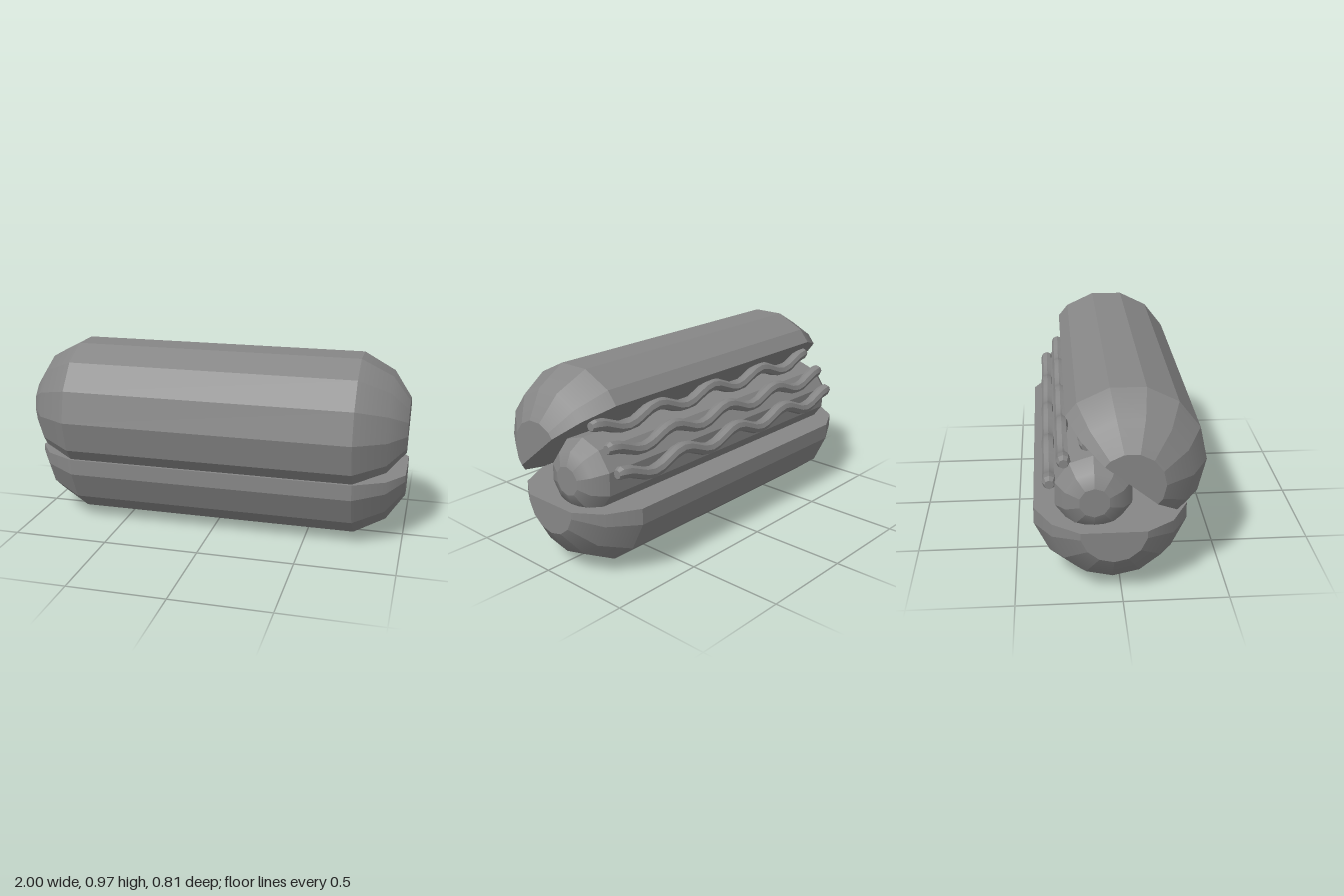
import * as THREE from 'three';
import { toCreasedNormals } from 'three/addons/utils/BufferGeometryUtils.js';

const material = new THREE.MeshStandardMaterial({ color: 0x868686 });

// Solid turned about the x axis from [x, radius] pairs; a doubled pair makes a sharp ring
function turned(profile, sides) {
  const points = profile.map(([x, r]) => new THREE.Vector2(r, x));
  const geometry = new THREE.LatheGeometry(points, sides, Math.PI / 2).rotateZ(-Math.PI / 2);
  geometry.normalizeNormals();
  return geometry;
}

const mirrored = (half) => [...half.map(([x, r]) => [-x, r]).reverse(), ...half];

// Move every vertex's y by a rule
function mapY(geometry, rule) {
  const p = geometry.attributes.position;
  for (let i = 0; i < p.count; i++) p.setY(i, rule(p.getX(i), p.getY(i)));
  return geometry;
}

// Smooth round body with domed ends split into flat-sided wedges
function loaf([body, middle, tip], sides, cut) {
  const half = [body, body, middle, tip, tip, [tip[0], 0]];
  const solid = turned(mirrored(half), sides);
  if (cut) mapY(solid, (x, y) => Math.min(y, 0));
  const geometry = solid.toNonIndexed();
  const { position, normal } = geometry.attributes;
  const corners = [0, 1, 2].map(() => new THREE.Vector3());
  const triangle = new THREE.Triangle(...corners);
  const face = new THREE.Vector3(), n = new THREE.Vector3();
  for (let i = 0; i < position.count; i += 3) {
    corners.forEach((c, k) => c.fromBufferAttribute(position, i + k));
    triangle.getNormal(face);
    const onCut = cut && corners.every((c) => c.y > -1e-6);
    const onDome = corners.every((c) => Math.abs(c.x) > body[0] - 1e-4);
    const across = Math.hypot(face.y, face.z);
    for (let k = 0; k < 3; k++) {
      n.fromBufferAttribute(normal, i + k);
      if (onCut) n.set(0, 1, 0);
      else if (onDome && across > 1e-4) {
        const radial = Math.hypot(n.y, n.z) / across;
        n.set(n.x, face.y * radial, face.z * radial);
      }
      normal.setXYZ(i + k, n.x, n.y, n.z);
    }
  }
  return geometry;
}

function addPart(group, name, geometry, x, y, z) {
  const mesh = new THREE.Mesh(geometry, material);
  mesh.name = name;
  mesh.position.set(x, y, z);
  group.add(mesh);
  return mesh;
}

export function createModel() {
  const group = new THREE.Group();
  group.name = 'hotDog';

  // Bun halves: the loaf with everything above its middle pressed flat
  const bun = loaf([[0.75, 0.373], [0.91, 0.287], [1.0, 0.155]], 14, true);
  addPart(group, 'bottomBun', bun, 0, 0.374, -0.042);
  addPart(group, 'topBun', bun, 0, 0.6075, 0.034).rotation.x = -2.457;

  // Sausage
  const sausage = loaf([[0.85, 0.187], [0.925, 0.138], [0.953, 0.072]], 10, false);
  addPart(group, 'sausage', sausage, 0.006, 0.4975, -0.126);

  // Wavy sauce strands along the open side, cresting at both ends
  const length = 1.64, waves = 4, steps = waves * 8;
  const profile = [[-0.843, 0], [-0.843, 0.022]];
  for (let i = 0; i <= steps; i++) profile.push([length * (i / steps - 0.5), 0.033]);
  profile.push([0.843, 0.022], [0.843, 0]);
  const wave = (x) => 0.03 * Math.cos((x / length) * waves * 2 * Math.PI);
  const strand = toCreasedNormals(mapY(turned(profile, 8), (x, y) => y + wave(x)), 0.6);
  [[0.707, -0.157], [0.622, -0.261], [0.52, -0.327]].forEach(([y, z], i) => {
    addPart(group, `sauceStrand${i + 1}`, strand, -0.012, y, z);
  });

  return group;
}
